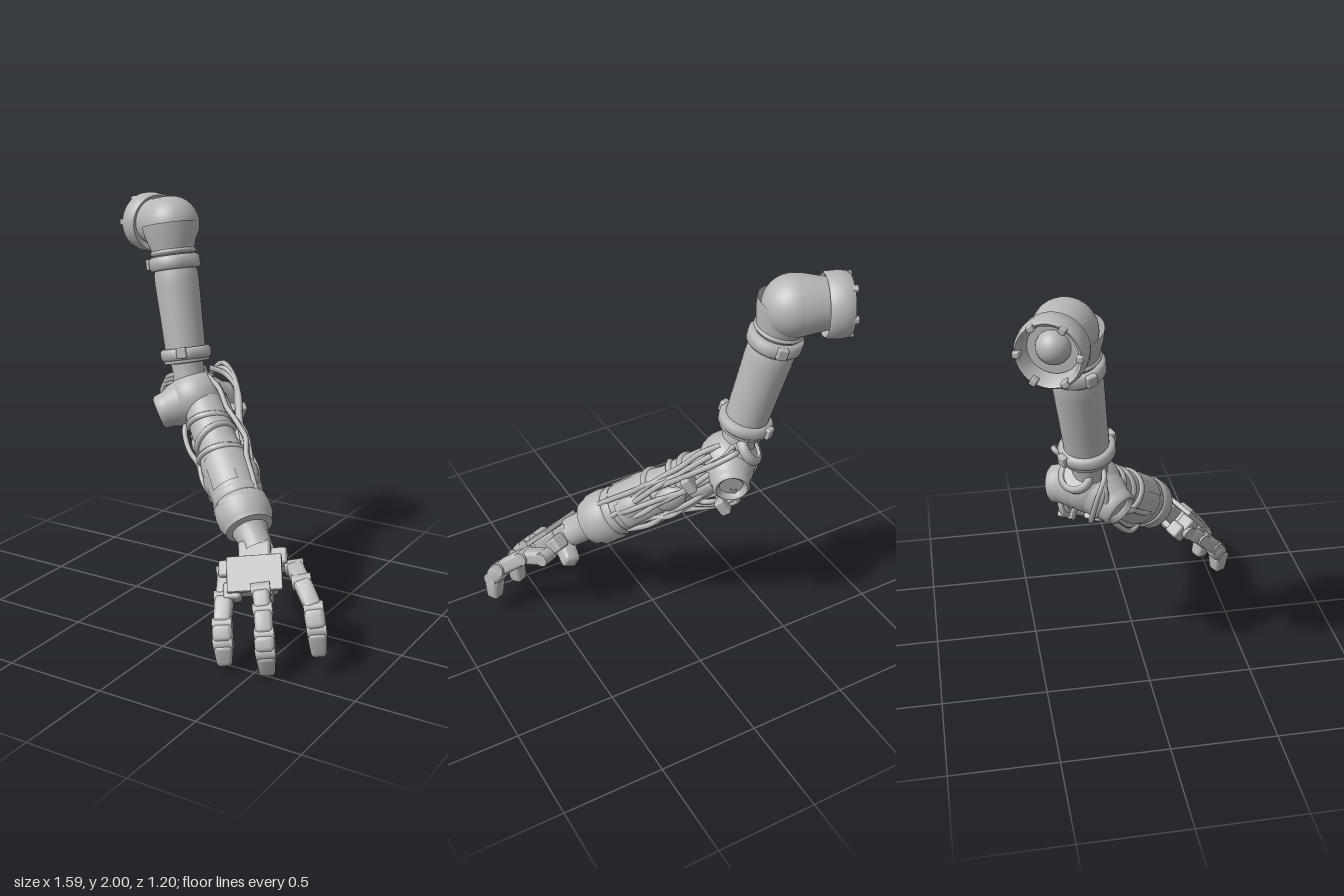
import * as THREE from 'three';
import { toCreasedNormals } from 'three/addons/utils/BufferGeometryUtils.js';
import { RoundedBoxGeometry } from 'three/addons/geometries/RoundedBoxGeometry.js';

const V = (x, y, z) => new THREE.Vector3(x, y, z);

export function createModel() {
  const model = new THREE.Group();
  const metal = new THREE.MeshStandardMaterial({ color: 0xb6b6b6, side: THREE.DoubleSide });
  metal.name = 'grey metal';
  const SIDE = V(0.605, 0, -0.796); // across the arm, horizontal

  const add = (name, geo, parent = model) => {
    const m = new THREE.Mesh(geo, metal);
    m.name = name;
    parent.add(m);
    return m;
  };
  // Frame whose y runs along dir and whose x is close to side
  const frame = (dir, side = SIDE) => {
    const y = dir.clone().normalize();
    const z = side.clone().cross(y).normalize();
    return new THREE.Matrix4().makeBasis(y.clone().cross(z), y, z);
  };
  const place = (obj, pos, dir, side) => {
    obj.quaternion.setFromRotationMatrix(frame(dir, side));
    obj.position.copy(pos);
    return obj;
  };
  // Turned part: profile of [radius, distance] pairs
  const turned = (name, profile, parent = model) => add(name, toCreasedNormals(
    new THREE.LatheGeometry(profile.map(p => new THREE.Vector2(...p)), 36), 0.8), parent);
  const band = (name, r, y, h, parent, inner = r - 0.03) => turned(name, [
    [inner, y - h / 2], [r - 0.012, y - h / 2], [r, y - h / 2 + 0.012], [r, y + h / 2 - 0.012],
    [r - 0.012, y + h / 2], [inner, y + h / 2]], parent);
  const box = (name, w, h, d, pos, dir, side) =>
    place(add(name, new RoundedBoxGeometry(w, h, d, 2, Math.min(w, h, d) * 0.18)), pos, dir, side);
  const cable = (name, pts, r, parent) =>
    add(name, new THREE.TubeGeometry(new THREE.CatmullRomCurve3(pts), 40, r, 7), parent);

  // Shoulder: open mounting ring, short sleeve and ball
  const shoulder = place(new THREE.Group(), V(-0.5, 1.85, -0.37), V(-0.92, 0, -0.39), V(0, 1, 0));
  shoulder.name = 'shoulder';
  model.add(shoulder);
  add('shoulderBall', new THREE.SphereGeometry(0.143, 36, 24), shoulder);
  turned('shoulderSleeve', [[0.142, 0], [0.14, 0.04], [0.13, 0.09], [0.122, 0.13], [0.115, 0.17], [0, 0.17]], shoulder);
  turned('mountRing', [[0.11, 0.16], [0.142, 0.135], [0.15, 0.145], [0.153, 0.2], [0.148, 0.235],
    [0.138, 0.25], [0.125, 0.24], [0.11, 0.16]], shoulder).position.x = -0.008;
  add('mountHub', new THREE.SphereGeometry(0.075, 20, 14), shoulder).position.y = 0.165;
  for (let i = 0; i < 6; i++) {
    const a = i * Math.PI / 3 + 0.5;
    const lug = add('mountLug', new RoundedBoxGeometry(0.03, 0.045, 0.03, 2, 0.007), shoulder);
    lug.position.set(Math.cos(a) * 0.132 - 0.008, 0.242, Math.sin(a) * 0.132);
    lug.rotation.y = -a;
  }

  // Upper arm: neck, tube and two collars
  const upper = place(new THREE.Group(), V(-0.45, 1.66, -0.32), V(0.1, -0.45, 0.055));
  upper.name = 'upperArm';
  model.add(upper);
  turned('shoulderNeck', [[0.142, -0.2], [0.135, -0.15], [0.112, -0.08], [0.1, -0.02], [0.1, 0]], upper);
  turned('upperArmTube', [[0.1, 0], [0.112, 0.05], [0.113, 0.1], [0.107, 0.28], [0.103, 0.44]], upper);
  band('upperCollar', 0.13, -0.005, 0.07, upper);
  band('upperCollarLip', 0.118, -0.06, 0.03, upper);
  band('lowerCollar', 0.13, 0.455, 0.06, upper);
  turned('lowerCollarCap', [[0.118, 0.48], [0.115, 0.5], [0.07, 0.505]], upper);
  turned('elbowNeck', [[0.088, 0.45], [0.08, 0.53], [0.085, 0.62], [0.1, 0.7]], upper);
  for (const [y, a] of [[-0.01, 0.3], [-0.01, 2.6], [0.45, 1.1], [0.45, 4.2]]) {
    const clip = add('collarClip', new RoundedBoxGeometry(0.03, 0.055, 0.05, 2, 0.008), upper);
    clip.position.set(Math.cos(a) * 0.13, y, Math.sin(a) * 0.13);
    clip.rotation.y = -a;
  }

  // Elbow: body and crosswise pivot with dished ends
  const elbow = V(-0.28, 1.0, -0.24);
  add('elbowBody', new THREE.SphereGeometry(0.14, 30, 20)).position.copy(elbow);
  for (const end of [V(-0.42, 0.93, -0.13), V(-0.2, 0.97, -0.405)]) {
    const d = end.clone().sub(elbow), L = d.length();
    const pivot = place(new THREE.Group(), elbow, d, V(0, 1, 0));
    pivot.name = 'elbowPivot';
    model.add(pivot);
    turned('pivotDrum', [[0.13, 0], [0.112, L * 0.55], [0.095, L * 0.75], [0.09, L * 0.85], [0.088, L],
      [0.075, L + 0.012], [0.06, L], [0.055, L - 0.015], [0, L - 0.015]], pivot);
  }

  // Forearm: local y runs to the wrist, x to the outer side, -z is the top
  const fore = place(new THREE.Group(), V(-0.25, 1.0, -0.24), V(0.5, -0.45, 0.38));
  fore.name = 'forearm';
  model.add(fore);
  turned('forearmCore', [[0, -0.16], [0.06, -0.16], [0.085, -0.13], [0.1, -0.05], [0.1, 0.05], [0.106, 0.2],
    [0.1, 0.3], [0.112, 0.36], [0.122, 0.42], [0.123, 0.58], [0.115, 0.64]], fore);
  band('rearRing', 0.088, -0.15, 0.05, fore);
  turned('wristCuff', [[0.1, 0.6], [0.122, 0.605], [0.128, 0.63], [0.122, 0.65], [0.131, 0.66], [0.136, 0.7],
    [0.134, 0.75], [0.122, 0.775], [0.115, 0.8], [0.088, 0.81], [0.078, 0.84], [0.075, 0.93]], fore);
  for (const [y, r, tilt] of [[0.16, 0.118, 0.2], [0.27, 0.12, -0.25], [0.37, 0.128, 0.15], [0.68, 0.136, 0.12]]) {
    const strap = band('forearmStrap', r, 0, 0.035, fore);
    strap.position.y = y;
    strap.rotation.set(tilt, 0, tilt * 0.6);
  }
  // Curved cover plates
  for (const [a, y, h, r] of [[1.2, 0.47, 0.2, 0.134], [3.3, 0.5, 0.18, 0.13], [5.2, 0.46, 0.22, 0.134], [0.2, 0.2, 0.15, 0.122]]) {
    const plate = add('coverPlate', new THREE.CylinderGeometry(r, r - 0.006, h, 14, 1, true, a, 1.1), fore);
    plate.position.y = y;
  }
  // Rounded housings bulging from the sides and underside
  for (const [a, y, size] of [[0.1, 0.3, 0.055], [0.5, 0.13, 0.05], [1.1, 0.42, 0.06], [1.9, 0.24, 0.055], [2.6, 0.5, 0.04], [5.9, 0.52, 0.05]]) {
    const housing = add('actuatorHousing', new THREE.SphereGeometry(size, 16, 12), fore);
    housing.scale.set(0.8, 1.7, 1.2);
    housing.position.set(Math.cos(a) * 0.1, y, Math.sin(a) * 0.1);
    housing.rotation.set(0.15, -a, 0.1);
  }

  // Cables along the forearm, bowing out and twisting round it
  const rods = [[-1.2, 0.6], [-0.9, 0.5], [-0.6, -0.5], [-0.3, 0.35], [0, -0.4], [0.35, 0.4], [0.8, -0.3], [1.3, 0.4], [1.8, -0.4], [2.3, 0.35]];
  rods.forEach(([a, twist], i) => {
    const pts = [];
    for (let k = 0; k <= 6; k++) {
      const t = k / 6, ang = a + twist * t;
      const r = 0.108 + 0.034 * Math.sin(Math.PI * t) + 0.012 * Math.sin(k * 2.1 + i);
      pts.push(V(Math.cos(ang) * r, -0.06 + 0.05 * (i % 3) + t * 0.62, Math.sin(ang) * r));
    }
    cable('forearmCable', pts, 0.014, fore);
  });
  // Cable loops around the elbow
  for (let i = 0; i < 3; i++) {
    const s = i * 0.022;
    cable('outerElbowLoop', [V(-0.25, 1.1 + s, -0.33), V(-0.22 + s, 1.16 - s, -0.4 + s), V(-0.12 + s, 1.1 - s, -0.36 + s),
      V(-0.04 + s, 0.99 - s, -0.25 + s), V(0.07 + s, 0.86 - s, -0.12 + s)], 0.014);
    cable('innerElbowLoop', [V(-0.32, 1.13 - s, -0.2), V(-0.42 - s / 2, 1.1 - s, -0.2), V(-0.45, 1.0, -0.24 + s),
      V(-0.4, 0.87 + s, -0.26 + s), V(-0.26, 0.82 + s, -0.22), V(-0.12, 0.78, -0.12 + s)], 0.013);
    cable('lowerElbowLoop', [V(-0.22, 0.95, -0.39), V(-0.26 + s, 0.84, -0.37 + s), V(-0.18 + s, 0.79 + s, -0.3),
      V(-0.08, 0.68 + s, -0.14 + s), V(0.03 + s, 0.53 + s, 0), V(0.14, 0.53, 0.08)], 0.014);
  }
  for (const p of [V(-0.2, 0.82, -0.34), V(-0.24, 0.82, -0.22), V(-0.05, 0.96, -0.27)])
    box('cableClamp', 0.08, 0.05, 0.08, p, V(0.5, -0.45, 0.38));

  // Hand: palm block with a back plate and wrist mount
  const along = V(0.37, -0.74, 0.57), across = V(0.86, 0.16, -0.47), up = V(0.257, 0.664, 0.695);
  const plateAt = V(0.41, 0.415, 0.355);
  const onPalm = (x, y, z) => plateAt.clone().addScaledVector(across, x).addScaledVector(along, y).addScaledVector(up, z);
  box('palm', 0.2, 0.16, 0.09, onPalm(0, 0, -0.065), along, across);
  box('backPlate', 0.255, 0.17, 0.025, onPalm(0, 0, -0.01), along, across);
  box('wristMount', 0.15, 0.14, 0.09, onPalm(0, -0.1, -0.07), along, across);
  box('palmPad', 0.13, 0.12, 0.04, onPalm(0.01, 0, -0.125), along, across);
  for (const [x, y, z] of [[-0.13, -0.05, -0.06], [0.11, -0.09, -0.09], [-0.11, 0.06, -0.06], [0.04, 0.09, -0.05], [-0.12, -0.07, -0.12]])
    box('knuckleBlock', 0.08, 0.08, 0.075, onPalm(x, y, z), along, across);

  // Fingers: tapered segments between hinge joints
  const segment = (name, a, b, w, taper) => {
    const d = b.clone().sub(a), L = d.length();
    const g = new RoundedBoxGeometry(w, L, w * 0.95, 3, w * 0.25);
    const p = g.attributes.position;
    for (let i = 0; i < p.count; i++) {
      const k = 1 - (1 - taper) * (p.getY(i) / L + 0.5);
      p.setXYZ(i, p.getX(i) * k, p.getY(i), p.getZ(i) * k);
    }
    place(add(name, toCreasedNormals(g, 0.7)), a.clone().lerp(b, 0.5), d, across);
  };
  const fingers = [
    [V(0.25, 0.37, 0.33), V(0.29, 0.29, 0.42), V(0.335, 0.2, 0.51), V(0.36, 0.13, 0.545), V(0.37, 0.025, 0.545)],
    [V(0.46, 0.35, 0.38), V(0.5, 0.28, 0.43), V(0.54, 0.19, 0.485), V(0.56, 0.12, 0.51), V(0.555, 0.005, 0.48)],
    [V(0.52, 0.4, 0.17), V(0.6, 0.375, 0.25), V(0.7, 0.29, 0.32), V(0.735, 0.21, 0.355), V(0.745, 0.085, 0.345)]];
  const widths = [0.08, 0.085, 0.095, 0.092];
  for (const f of fingers) {
    widths.forEach((w, i) => {
      segment('fingerSegment', f[i], f[i + 1], w, i === 3 ? 0.75 : 0.95);
      place(add('fingerJoint', new THREE.CylinderGeometry(0.036, 0.036, 0.09, 16)), f[i], across, V(0, 1, 0));
    });
  }
  // Short thumb stub on the outer side of the wrist
  segment('thumb', V(0.39, 0.4, 0.24), V(0.41, 0.36, 0.1), 0.095, 0.85);
  return model;
}
